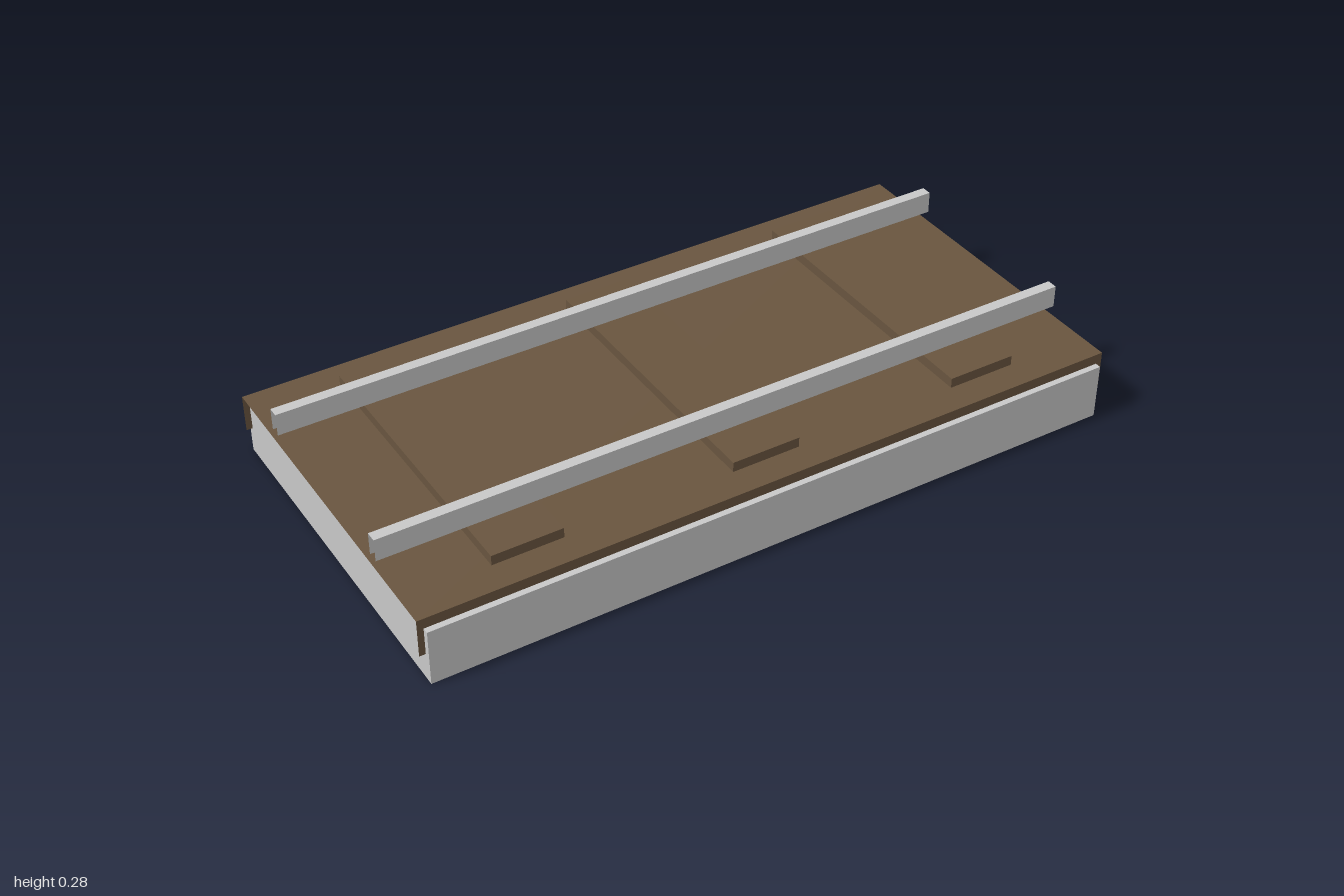
import * as THREE from 'three';

const grey = new THREE.MeshStandardMaterial({ color: 0xc8c8c8, side: THREE.DoubleSide });
grey.name = 'light grey';
const brown = new THREE.MeshStandardMaterial({ color: 0x69553f, side: THREE.DoubleSide });
brown.name = 'earth brown';

function block(name, material, x0, x1, y0, y1, halfZ) {
  const mesh = new THREE.Mesh(new THREE.BoxGeometry(x1 - x0, y1 - y0, halfZ * 2), material);
  mesh.position.set((x0 + x1) / 2, (y0 + y1) / 2, 0);
  mesh.name = name;
  return mesh;
}

// Folded sheet along x: a top and two side walls, open at the ends and below
function channel(name, material, y0, y1, halfZ, z = 0) {
  const group = new THREE.Group();
  group.name = name;
  const top = new THREE.Mesh(new THREE.PlaneGeometry(2, halfZ * 2), material);
  top.rotation.x = -Math.PI / 2;
  top.position.y = y1;
  top.name = name + 'Top';
  group.add(top);
  for (const s of [1, -1]) {
    const wall = new THREE.Mesh(new THREE.PlaneGeometry(2, y1 - y0), material);
    wall.rotation.y = s > 0 ? 0 : Math.PI;
    wall.position.set(0, (y0 + y1) / 2, s * halfZ);
    wall.name = name + (s > 0 ? 'FrontWall' : 'BackWall');
    group.add(wall);
  }
  group.position.z = z;
  return group;
}

export function createModel() {
  const model = new THREE.Group();
  model.name = 'trackSection';

  // Foundation and the ground sheet folded over it
  model.add(block('base', grey, -0.983, 0.983, 0, 0.158, 0.517));
  model.add(channel('trackBed', brown, 0.08, 0.187, 0.5));

  // Three sleepers across the bed
  for (const x of [-0.667, 0, 0.665]) {
    model.add(block('sleeper', brown, x - 0.097, x + 0.097, 0.158, 0.215, 0.417));
  }

  // Two hollow rails
  for (const s of [1, -1]) {
    model.add(channel(s > 0 ? 'frontRail' : 'backRail', grey, 0.216, 0.279, 0.015, s * 0.28));
  }
  return model;
}
